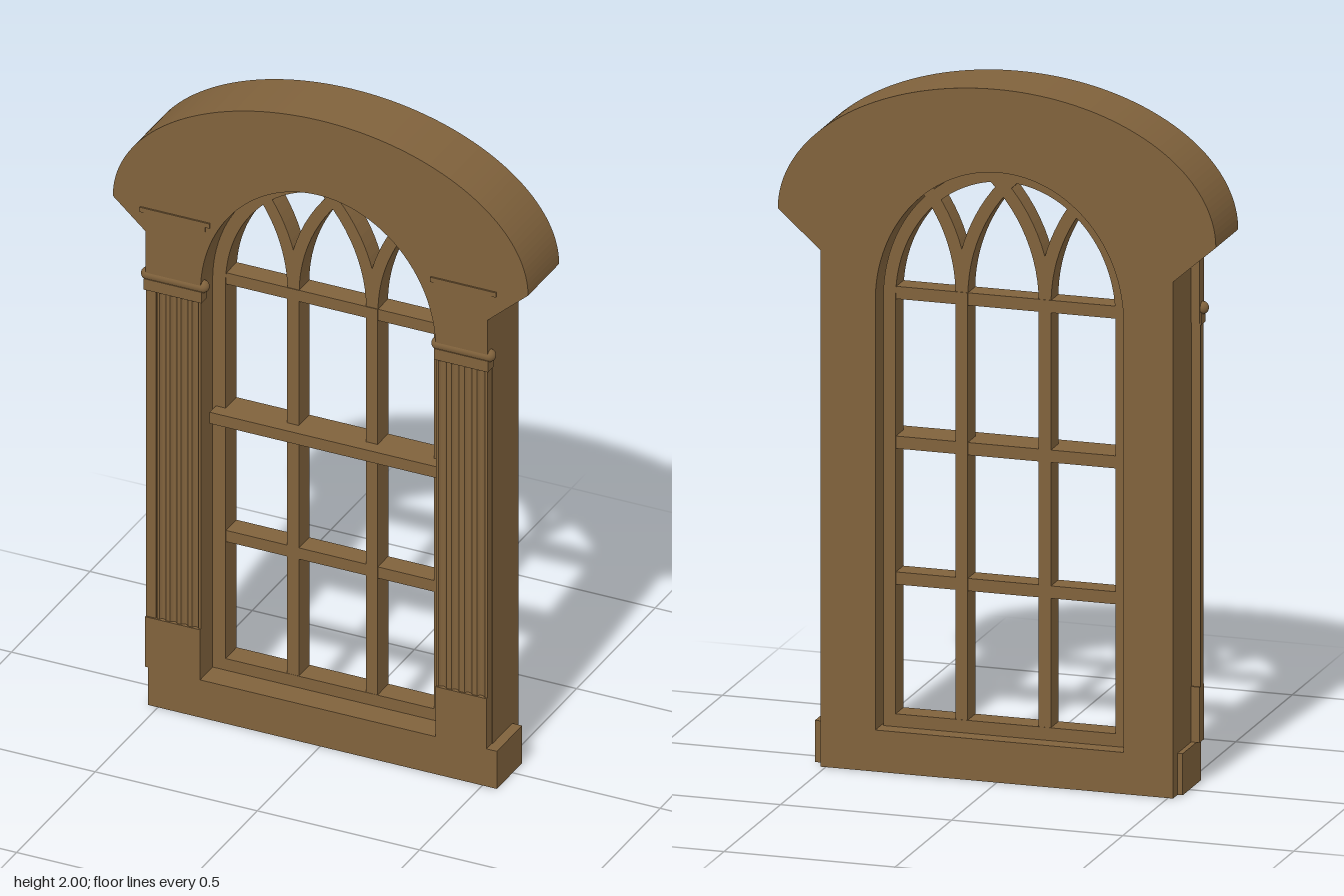
import * as THREE from 'three';

const material = new THREE.MeshStandardMaterial({ color: 0x80623c, side: THREE.DoubleSide });
const SPRING = 1.36; // height where the window arch starts

export function createModel() {
  const root = new THREE.Group();
  root.name = 'archedWindow';

  function add(name, geometry, parent = root) {
    const mesh = new THREE.Mesh(geometry, material);
    mesh.name = name;
    parent.add(mesh);
    return mesh;
  }
  // Box given by its limits on each axis
  function box(name, x0, x1, y0, y1, z0, z1, parent) {
    const mesh = add(name, new THREE.BoxGeometry(x1 - x0, y1 - y0, z1 - z0), parent);
    mesh.position.set((x0 + x1) / 2, (y0 + y1) / 2, (z0 + z1) / 2);
    return mesh;
  }
  // Shape in the x-y plane, extruded from z0 to z1
  function slab(name, shape, z0, z1, parent) {
    const geometry = new THREE.ExtrudeGeometry(shape, { depth: z1 - z0, bevelEnabled: false, curveSegments: 40 });
    geometry.translate(0, 0, z0);
    return add(name, geometry, parent);
  }
  // Upright opening with a half-ellipse top
  function archOutline(path, x0, x1, y0, top) {
    path.moveTo(x0, y0);
    path.lineTo(x1, y0);
    path.lineTo(x1, SPRING);
    path.absellipse((x0 + x1) / 2, SPRING, (x1 - x0) / 2, top - SPRING, 0, Math.PI, false);
    path.lineTo(x0, y0);
    return path;
  }
  // Outer edge: straight jambs, flared shoulders, curved crown
  function crownEdge(shape, y0) {
    shape.lineTo(0.515, y0);
    shape.lineTo(0.515, 1.49);
    shape.lineTo(0.64, 1.6);
    shape.absellipse(0, 1.6, 0.64, 0.4, 0, Math.PI, false);
    shape.lineTo(-0.515, 1.49);
    shape.lineTo(-0.515, y0);
  }

  // Main surround with the window opening
  const surround = new THREE.Shape();
  surround.moveTo(-0.515, 0);
  crownEdge(surround, 0);
  surround.holes.push(archOutline(new THREE.Path(), -0.37, 0.355, 0.12, 1.76));
  slab('surround', surround, -0.1, 0.065);

  // Raised front of the arched head
  const head = new THREE.Shape();
  head.moveTo(0.355, SPRING);
  crownEdge(head, SPRING);
  head.lineTo(-0.37, SPRING);
  head.absellipse(-0.0075, SPRING, 0.3625, 0.4, Math.PI, 0, true);
  slab('archedHead', head, 0.065, 0.098);

  box('sill', -0.53, 0.545, 0, 0.12, -0.06, 0.1);

  // Pilasters: plinth, fluted shaft, neck and mouldings
  function pilaster(name, x0, x1, shaft0) {
    const group = new THREE.Group();
    group.name = name;
    root.add(group);
    box('plinth', x0, x1, 0.12, 0.28, 0.06, 0.1, group);
    if (shaft0 > x0) box('shaftReturn', x0, shaft0 - 0.004, 0.28, 1.33, 0.065, 0.095, group);

    // Shaft cross-section, drawn with y as depth and then stood upright
    const section = new THREE.Shape();
    const flutes = 4, step = (x1 - shaft0) / flutes;
    section.moveTo(shaft0, -0.06);
    section.lineTo(shaft0, -0.095);
    for (let i = 0; i < flutes; i++) {
      const x = shaft0 + i * step;
      section.lineTo(x + step * 0.2, -0.095);
      section.quadraticCurveTo(x + step * 0.5, -0.081, x + step * 0.8, -0.095);
    }
    section.lineTo(x1, -0.095);
    section.lineTo(x1, -0.06);
    const shaft = new THREE.ExtrudeGeometry(section, { depth: 1.05, bevelEnabled: false, curveSegments: 5 });
    shaft.rotateX(-Math.PI / 2);
    shaft.translate(0, 0.28, 0);
    add('flutedShaft', shaft, group);

    box('neck', x0, x1, 1.33, 1.52, 0.06, 0.098, group);
    box('collar', x0 - 0.004, x1 + 0.004, 1.325, 1.36, 0.063, 0.1, group);
    const roll = add('rollMoulding', new THREE.CapsuleGeometry(0.019, x1 - x0, 6, 14), group);
    roll.rotation.z = Math.PI / 2;
    roll.position.set((x0 + x1) / 2, 1.37, 0.082);
    box('capitalFillet', x0 - 0.005, x1 + 0.015, 1.555, 1.572, 0.07, 0.101, group);
    box('capitalCap', x0 - 0.015, x1 + 0.03, 1.572, 1.587, 0.07, 0.103, group);
  }
  pilaster('rightPilaster', -0.54, -0.37, -0.505);
  pilaster('leftPilaster', 0.355, 0.513, 0.355);

  // Sash frame and glazing bars
  const sash = new THREE.Group();
  sash.name = 'sash';
  root.add(sash);
  const frame = archOutline(new THREE.Shape(), -0.37, 0.348, 0.12, 1.757);
  frame.holes.push(archOutline(new THREE.Path(), -0.33, 0.312, 0.157, 1.72));
  slab('sashFrame', frame, -0.05, 0.02, sash);
  const bars = [-0.123, 0.12];
  for (const x of bars) box('uprightBar', x - 0.018, x + 0.018, 0.14, 1.39, -0.049, 0.019, sash);
  for (const y of [0.548, 1.372]) box('crossBar', -0.35, 0.33, y - 0.018, y + 0.018, -0.048, 0.018, sash);
  box('meetingRail', -0.36, 0.34, 0.922, 0.958, -0.048, 0.06, sash);

  // Tracery: each upright splits into two curved ribs
  function rib(x, side, top) {
    const radius = 0.49, half = 0.018;
    const shape = new THREE.Shape();
    const n = 12, end = Math.asin((top - 1.38) / radius);
    const point = (i, r) => {
      const a = (end * i) / n;
      return [x + side * (radius - r * Math.cos(a)), 1.38 + r * Math.sin(a)];
    };
    shape.moveTo(...point(0, radius - half));
    for (let i = 1; i <= n; i++) shape.lineTo(...point(i, radius - half));
    for (let i = n; i >= 0; i--) shape.lineTo(...point(i, radius + half));
    slab('traceryRib', shape, -0.047, 0.017, sash);
  }
  bars.forEach((x, i) => {
    const outward = i === 0 ? -1 : 1;
    rib(x, outward, 1.675);
    rib(x, -outward, 1.73);
  });

  return root;
}
